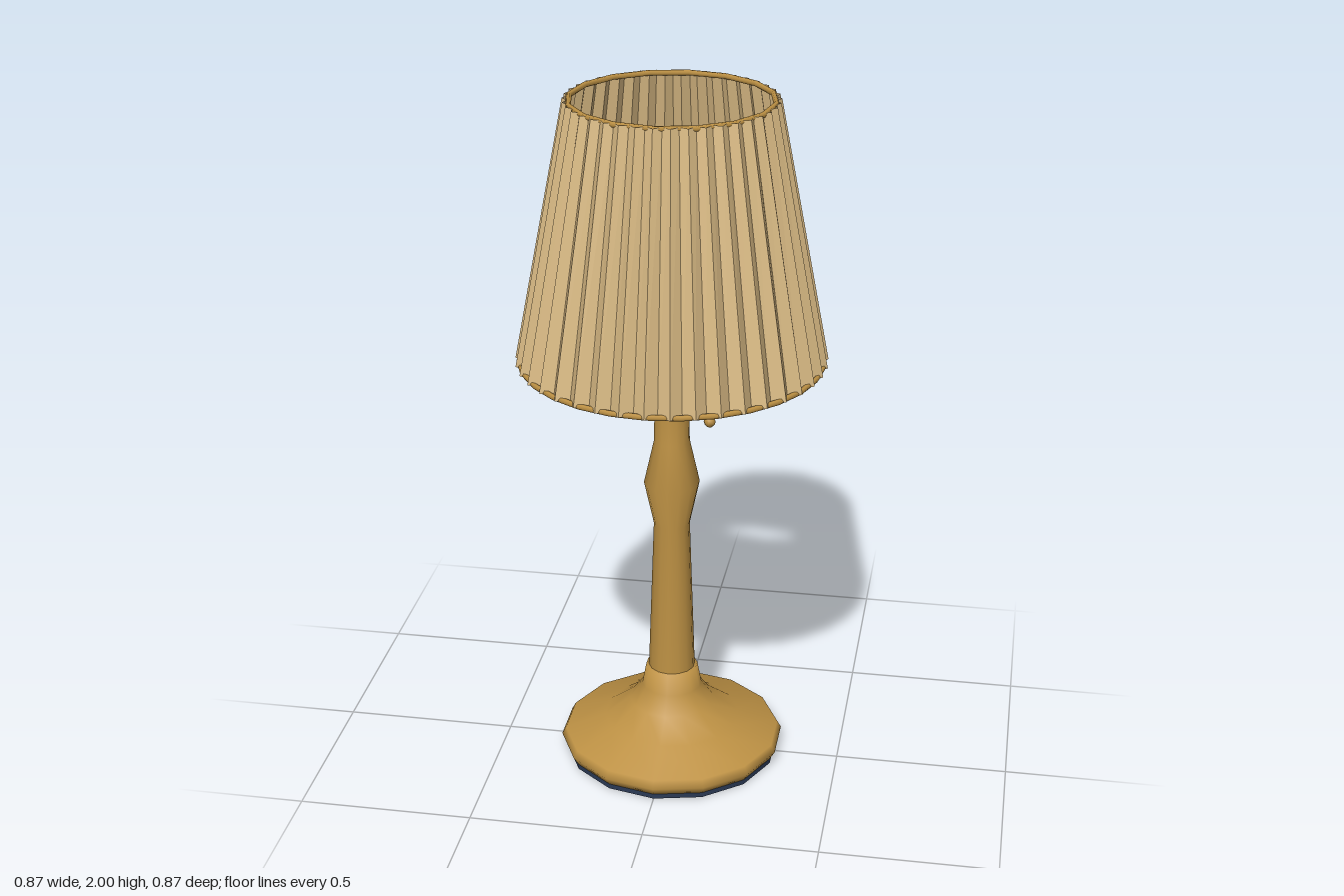
import * as THREE from 'three';

const material = (name, color, side = THREE.FrontSide) =>
  Object.assign(new THREE.MeshStandardMaterial({ color, side }), { name });

const SHADE_BOTTOM = 1.25;
const SHADE_TOP = 1.995;

// Accordion-folded cone: ridges and valleys alternate around the ring
function pleatedShade(pleats) {
  const geometry = new THREE.CylinderGeometry(1, 1, 1, pleats * 2, 1, true).toNonIndexed();
  const position = geometry.attributes.position;
  for (let i = 0; i < position.count; i++) {
    const x = position.getX(i), z = position.getZ(i);
    const step = Math.round(Math.atan2(x, z) / (Math.PI / pleats));
    const ridge = Math.abs(step) % 2 === 0;
    const top = position.getY(i) > 0;
    const radius = top ? (ridge ? 0.293 : 0.279) : (ridge ? 0.437 : 0.412);
    position.setXYZ(i, x * radius, top ? SHADE_TOP : SHADE_BOTTOM, z * radius);
  }
  geometry.computeVertexNormals();
  return geometry;
}

export function createModel() {
  const lamp = new THREE.Group();
  lamp.name = 'tableLamp';
  const brass = material('brass', 0xbd9144);
  const cream = material('creamFabric', 0xd9ba84);
  const creamCloth = material('creamFabricTwoSided', 0xd9ba84, THREE.DoubleSide);
  const navy = material('darkNavy', 0x2b3a55);

  const add = (name, geometry, mat, x = 0, y = 0, z = 0) => {
    const mesh = new THREE.Mesh(geometry, mat);
    mesh.name = name;
    mesh.position.set(x, y, z);
    lamp.add(mesh);
    return mesh;
  };
  const lathe = (points, sides) =>
    new THREE.LatheGeometry(points.map(([r, y]) => new THREE.Vector2(r, y)), sides);

  // Foot: felt pad and flared base
  add('feltPad', new THREE.CylinderGeometry(0.315, 0.315, 0.02, 14), navy, 0, 0.01);
  add('base', lathe([
    [0, 0.015], [0.315, 0.015], [0.33, 0.04], [0.318, 0.062], [0.2, 0.105],
    [0.125, 0.16], [0.088, 0.21], [0.076, 0.273], [0, 0.275],
  ], 14), brass);

  // Turned column with a swelling and a small collar
  add('column', lathe([
    [0.068, 0.27], [0.052, 0.74], [0.08, 0.87], [0.051, 1.0],
    [0.047, 1.2], [0.062, 1.245], [0.062, 1.285], [0.03, 1.3], [0, 1.3],
  ], 14), brass);

  // Socket and bulb
  add('socket', new THREE.CylinderGeometry(0.026, 0.026, 0.1, 10), navy, 0, 1.34);
  add('bulb', lathe([
    [0, 1.355], [0.035, 1.365], [0.07, 1.405], [0.088, 1.465],
    [0.075, 1.515], [0.042, 1.55], [0, 1.56],
  ], 9), cream);

  // Pull chain hanging beside the column
  const arm = add('chainArm', new THREE.CylinderGeometry(0.007, 0.007, 0.085, 6), brass, 0.063, 1.33);
  arm.rotation.z = Math.PI / 2;
  add('pullChain', new THREE.CylinderGeometry(0.002, 0.002, 0.26, 5), brass, 0.105, 1.2);
  add('chainBall', new THREE.SphereGeometry(0.017, 8, 6), brass, 0.108, 1.065);

  // Pleated shade with wire rims
  add('shade', pleatedShade(40), creamCloth);
  for (const [name, radius, y, sides] of [
    ['topRim', 0.28, SHADE_TOP - 0.004, 16],
    ['bottomRim', 0.425, SHADE_BOTTOM + 0.003, 28],
  ]) {
    add(name, new THREE.TorusGeometry(radius, 0.008, 6, sides), brass, 0, y).rotation.x = Math.PI / 2;
  }

  return lamp;
}
